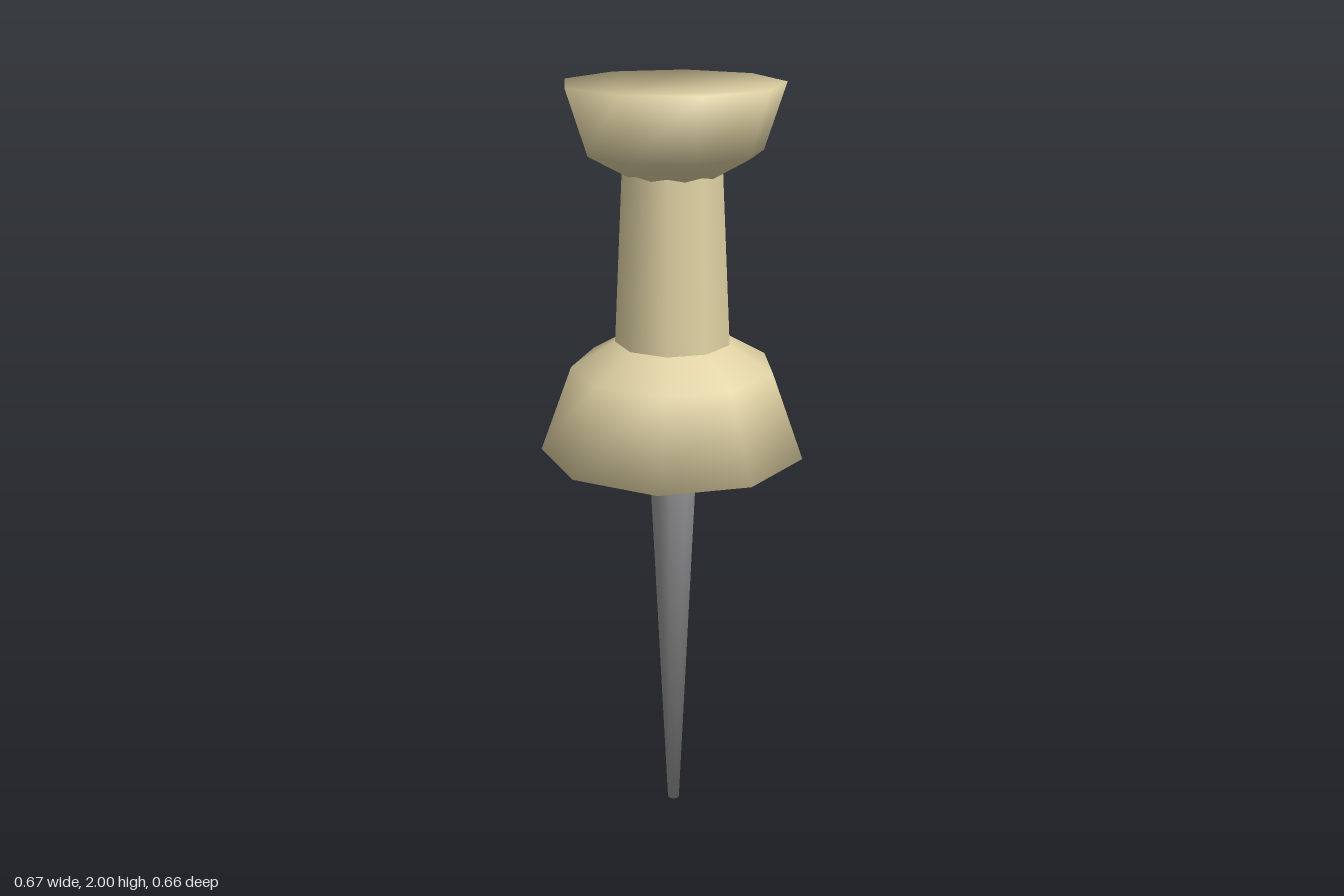
import * as THREE from 'three';

const SIDES = 9;
const CENTRE_Z = 0.009;
const CAP_WEIGHT = 0.8; // how far a cap bends the soft normals at its rim

// Soft-shaded nine-sided turned solid. rings: [radius, y] from bottom to top;
// turn: angle of the first corner from +z; caps are flat polygons sharing the rim.
function turned(name, material, rings, turn, capBottom, capTop) {
  const slopes = [];
  for (let i = 0; i + 1 < rings.length; i++) {
    const dr = rings[i + 1][0] - rings[i][0];
    const dy = rings[i + 1][1] - rings[i][1];
    slopes.push(new THREE.Vector2(dy, -dr).normalize());
  }
  const below = capBottom ? new THREE.Vector2(0, -CAP_WEIGHT) : new THREE.Vector2();
  const above = capTop ? new THREE.Vector2(0, CAP_WEIGHT) : new THREE.Vector2();

  const positions = [], normals = [], index = [];
  rings.forEach(([r, y], i) => {
    const n = (slopes[i - 1] ?? below).clone().add(slopes[i] ?? above).normalize();
    for (let j = 0; j < SIDES; j++) {
      const a = turn + (j / SIDES) * Math.PI * 2;
      positions.push(r * Math.sin(a), y, CENTRE_Z + r * Math.cos(a));
      normals.push(n.x * Math.sin(a), n.y, n.x * Math.cos(a));
    }
  });

  // Walls between neighbouring rings
  for (let i = 0; i + 1 < rings.length; i++) {
    for (let j = 0; j < SIDES; j++) {
      const a = i * SIDES + j, b = i * SIDES + (j + 1) % SIDES;
      index.push(a, b, b + SIDES, a, b + SIDES, a + SIDES);
    }
  }
  // Flat end caps
  const last = (rings.length - 1) * SIDES;
  for (let j = 1; j + 1 < SIDES; j++) {
    if (capBottom) index.push(0, j + 1, j);
    if (capTop) index.push(last, last + j, last + j + 1);
  }

  const geometry = new THREE.BufferGeometry();
  geometry.setAttribute('position', new THREE.Float32BufferAttribute(positions, 3));
  geometry.setAttribute('normal', new THREE.Float32BufferAttribute(normals, 3));
  geometry.setIndex(index);
  const mesh = new THREE.Mesh(geometry, material);
  mesh.name = name;
  return mesh;
}

export function createModel() {
  const plastic = new THREE.MeshStandardMaterial({ color: 0xe0d2a4 });
  const steel = new THREE.MeshStandardMaterial({ color: 0x9a9a9c });
  const group = new THREE.Group();
  group.name = 'pushPin';

  group.add(
    // Steel needle with a blunt tip
    turned('needle', steel, [[0.016, 0], [0.065, 1.085]], Math.PI, true, false),
    // Wide flange with a sloping shoulder
    turned('flange', plastic, [[0.342, 1.08], [0.26, 1.3], [0.13, 1.375]], Math.PI, true, false),
    // Tapered grip, sunk slightly into both neighbours
    turned('grip', plastic, [[0.148, 1.35], [0.124, 1.81]], Math.PI, false, false),
    // Flared head with a flat top
    turned('head', plastic, [[0.11, 1.78], [0.22, 1.84], [0.273, 2]], 0, false, true),
  );
  return group;
}
